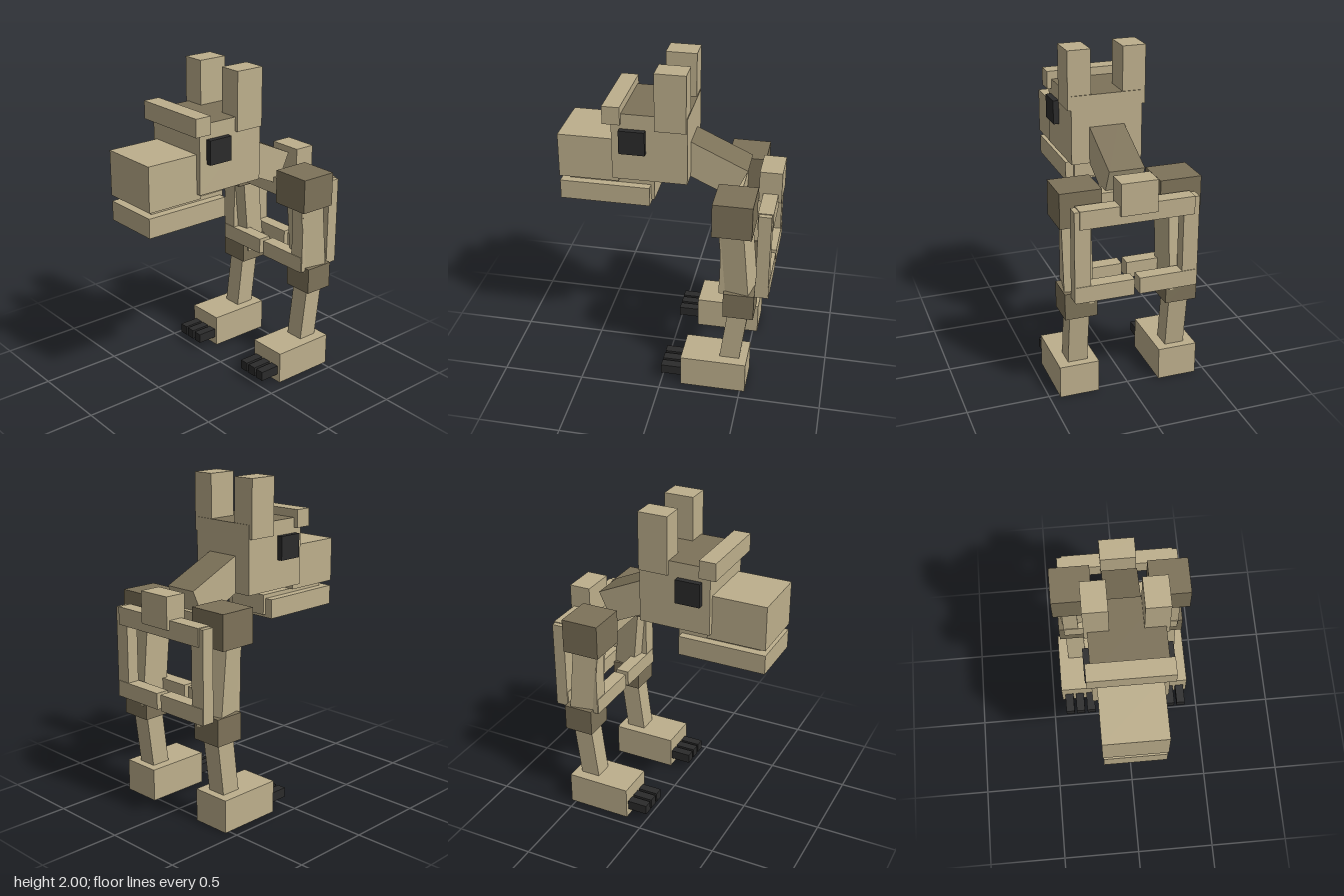
import * as THREE from 'three';

const mat = (name, color) => {
  const m = new THREE.MeshStandardMaterial({ color });
  m.name = name;
  return m;
};

export function createModel() {
  const tan = mat('tan', 0xbdaf8c);
  const brown = mat('dark brown', 0x7d7259);
  const black = mat('black', 0x2b2b2b);
  // tan box whose top face is dark
  const darkTop = [tan, tan, brown, tan, tan, tan];
  const model = new THREE.Group();
  model.name = 'creature';

  // box given by its extents along x, y and z
  const box = (name, [x0, x1], [y0, y1], [z0, z1], material = tan, parent = model) => {
    const mesh = new THREE.Mesh(new THREE.BoxGeometry(x1 - x0, y1 - y0, z1 - z0), material);
    mesh.position.set((x0 + x1) / 2, (y0 + y1) / 2, (z0 + z1) / 2);
    mesh.name = name;
    parent.add(mesh);
    return mesh;
  };
  // the same box on either side
  const sideBox = (name, s, [x0, x1], y, z, material, parent) =>
    box(name, s > 0 ? [x0, x1] : [-x1, -x0], y, z, material, parent);

  // head
  const head = new THREE.Group();
  head.name = 'head';
  model.add(head);
  box('skull', [-0.22, 0.22], [1.31, 1.73], [-0.12, 0.33], darkTop, head);
  box('snout', [-0.19, 0.19], [1.275, 1.55], [0.3, 0.665], tan, head);
  box('brow', [-0.247, 0.247], [1.67, 1.78], [0.27, 0.375], tan, head);
  box('lowerJaw', [-0.185, 0.185], [1.12, 1.24], [0.115, 0.665], tan, head);
  box('innerJaw', [-0.135, 0.135], [1.14, 1.265], [0.095, 0.615], tan, head);
  box('jawHinge', [-0.09, 0.09], [1.2, 1.33], [0.17, 0.24], tan, head);

  // neck slopes down to the ribs
  const neck = box('neck', [-0.108, 0.108], [1.276, 1.482], [-0.439, 0.021], darkTop);
  neck.rotation.x = -0.434;
  box('tail', [-0.11, 0.11], [1.185, 1.38], [-0.665, -0.53]);

  // two open rib hoops
  for (const z of [-0.385, -0.6]) {
    const ribs = new THREE.Group();
    ribs.name = 'ribHoop';
    model.add(ribs);
    box('topRib', [-0.345, 0.345], [1.13, 1.24], [z - 0.045, z + 0.045], tan, ribs);
    for (const s of [-1, 1]) {
      sideBox('sideRib', s, [0.28, 0.375], [0.68, 1.235], [z - 0.038, z + 0.038], tan, ribs);
      sideBox('lowerRib', s, [0.016, 0.37], [0.675, 0.775], [z - 0.042, z + 0.042], tan, ribs);
    }
  }

  for (const s of [-1, 1]) {
    sideBox('ear', s, [0.098, 0.24], [1.645, 2], [-0.115, 0.07], tan, head);
    sideBox('eye', s, [0.2, 0.255], [1.49, 1.637], [0.125, 0.28], black, head);

    // leg
    const leg = new THREE.Group();
    leg.name = s > 0 ? 'leftLeg' : 'rightLeg';
    model.add(leg);
    sideBox('hip', s, [0.177, 0.428], [1.1, 1.313], [-0.535, -0.3], brown, leg);
    const thigh = sideBox('thigh', s, [0.22, 0.39], [0.61, 1.19], [-0.523, -0.368], tan, leg);
    thigh.rotation.set(0.095, -0.2 * s, 0);
    sideBox('knee', s, [0.215, 0.41], [0.535, 0.7], [-0.56, -0.375], brown, leg);
    const shin = sideBox('shin', s, [0.252, 0.372], [0.12, 0.62], [-0.502, -0.38], tan, leg);
    shin.rotation.x = -0.125;
    sideBox('foot', s, [0.193, 0.437], [0, 0.203], [-0.53, -0.125], tan, leg);
    for (const x of [0.24, 0.314, 0.387]) {
      sideBox('toe', s, [x - 0.028, x + 0.028], [0.05, 0.11], [-0.14, 0.003], black, leg);
    }
  }
  return model;
}
